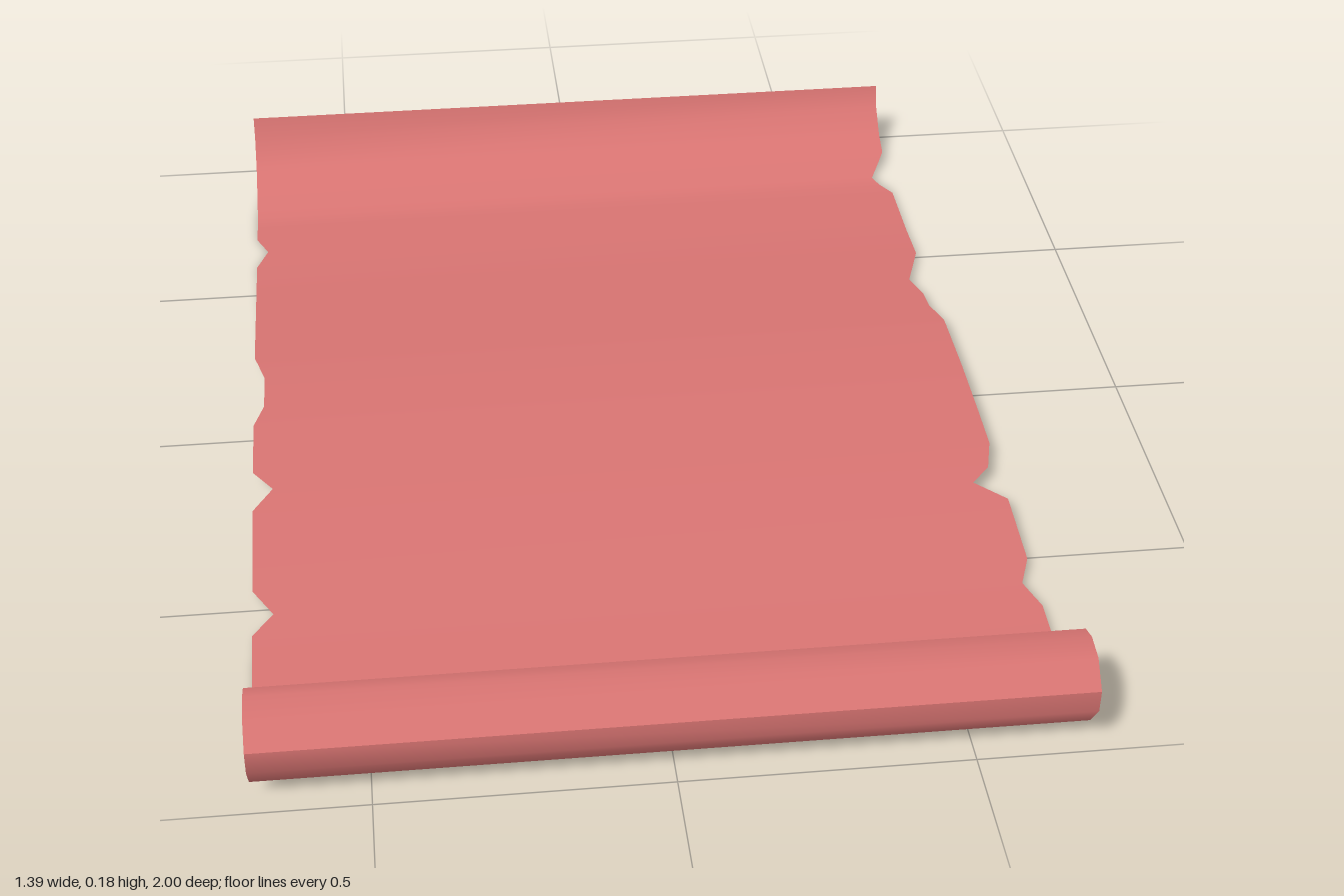
import * as THREE from 'three';
import { toCreasedNormals } from 'three/addons/utils/BufferGeometryUtils.js';

const HALF_WIDTH = 0.697;

// Rolled front lip as [z, y], from its inner end down to the sheet
const curl = [[0.88, 0.165], [0.915, 0.178], [0.96, 0.172], [1, 0.133], [1, 0.09]];

// Gently waved sheet as [z, y], ending in the raised back lip
const sheet = [
  [0.965, 0.037], [0.92, 0.014], [0.86, 0.003], [0.78, 0.001], [0.6, 0.01],
  [0.4, 0.025], [0.25, 0.035], [0.1, 0.039], [-0.05, 0.04], [-0.2, 0.034],
  [-0.4, 0.019], [-0.6, 0.004], [-0.8, 0], [-0.87, 0.02], [-0.935, 0.046],
  [-0.985, 0.09], [-1, 0.135],
];

// Torn edges as [z, depth of tear], front to back
const rightTears = [
  [0.96, 0], [0.92, 0.037], [0.84, 0], [0.58, 0], [0.53, 0.037], [0.47, 0],
  [0.26, 0], [0.2, 0.037], [0.15, 0], [0.005, 0], [-0.055, 0.02], [-0.155, 0.02],
  [-0.23, 0], [-0.6, 0], [-0.66, 0.023], [-0.71, 0],
];
const leftTears = [
  [0.64, 0], [0.58, 0.023], [0.52, 0], [0.36, 0], [0.31, 0.055], [0.27, 0.018],
  [0.2, 0], [-0.22, 0], [-0.28, 0.018], [-0.33, 0.02], [-0.39, 0.037], [-0.5, 0],
  [-0.76, 0], [-0.82, 0.035], [-0.89, 0],
];

// Linear lookup in a list of [z, value] with falling z
function valueAt(list, z) {
  if (z >= list[0][0]) return list[0][1];
  for (let i = 1; i < list.length; i++) {
    const [z0, v0] = list[i - 1], [z1, v1] = list[i];
    if (z >= z1) return v0 + (v1 - v0) * (z0 - z) / (z0 - z1);
  }
  return list[list.length - 1][1];
}

function scrollGeometry() {
  // Rows across the sheet at every bend and every tear corner
  const stations = new Set([...sheet, ...rightTears, ...leftTears].map(([z]) => z));
  const rows = curl.map(([z, y]) => [z, y, -HALF_WIDTH, HALF_WIDTH]);
  for (const z of [...stations].sort((a, b) => b - a)) {
    rows.push([z, valueAt(sheet, z),
      valueAt(rightTears, z) - HALF_WIDTH, HALF_WIDTH - valueAt(leftTears, z)]);
  }
  const positions = [], indices = [];
  rows.forEach(([z, y, x0, x1], i) => {
    positions.push(x0, y, z, x1, y, z);
    if (i > 0) {
      const a = 2 * i - 2;
      indices.push(a, a + 1, a + 3, a, a + 3, a + 2);
    }
  });
  const geometry = new THREE.BufferGeometry();
  geometry.setAttribute('position', new THREE.Float32BufferAttribute(positions, 3));
  geometry.setIndex(indices);
  return toCreasedNormals(geometry, 0.6);
}

export function createModel() {
  const group = new THREE.Group();
  group.name = 'scroll';
  const material = new THREE.MeshStandardMaterial({ color: 0xd87472, side: THREE.DoubleSide });
  const paper = new THREE.Mesh(scrollGeometry(), material);
  paper.name = 'paperSheet';
  group.add(paper);
  return group;
}
